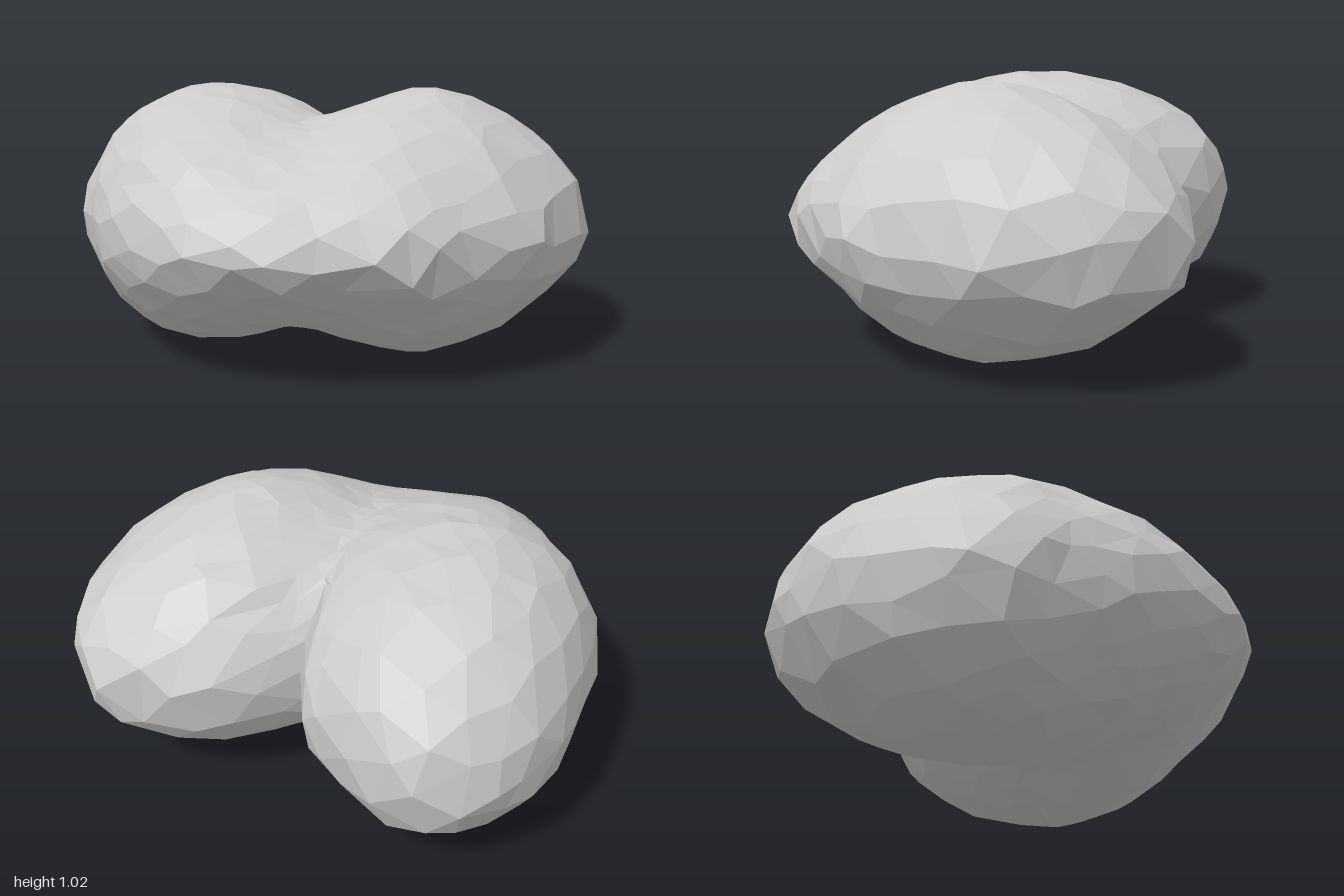
import * as THREE from 'three';
import { mergeVertices } from 'three/addons/utils/BufferGeometryUtils.js';

// Plan outline of the heart as [x, z], going round from the rear notch
const OUTLINE = [
  [-0.05, -0.5], [0.02, -0.59], [0.08, -0.64], [0.23, -0.78], [0.54, -0.85], [0.76, -0.77],
  [0.86, -0.64], [0.92, -0.5], [1.01, -0.18], [0.93, 0.05], [0.88, 0.26], [0.73, 0.43],
  [0.55, 0.63], [0.3, 0.74], [0.1, 0.83], [0, 0.81], [-0.12, 0.84], [-0.35, 0.79],
  [-0.55, 0.68], [-0.69, 0.56], [-0.84, 0.36], [-0.94, 0.26], [-0.98, 0.1], [-1.01, -0.18],
  [-0.99, -0.45], [-0.91, -0.62], [-0.84, -0.71], [-0.69, -0.83], [-0.57, -0.84],
  [-0.4, -0.8], [-0.1, -0.63],
];
const CENTRE = new THREE.Vector3(-0.05, 0.5, 0.1);

// The left lobe is wider and more pointed at its side than the right one
const LOBES = [
  { side: 1, x: 0.38, outer: 0.583, power: 1.62 },
  { side: -1, x: 0.48, outer: 0.46, power: 1.92 },
];

function seeded(seed) {
  return () => {
    seed = (seed * 16807) % 2147483647;
    return seed / 2147483647 - 0.5;
  };
}

// Below 1 inside a slanted lobe, blunt at the rear and wedge-like at the front
function lobe(p, { side, x, outer, power }) {
  const dx = p.x * side - x, dz = p.z + 0.06;
  const along = (-0.342 * dx + 0.94 * dz) / 0.85;
  const sideways = 0.94 * dx + 0.342 * dz;
  const across = sideways / (sideways > 0 ? outer : 0.66);
  const e = power - 0.22 * THREE.MathUtils.clamp(along, -1, 1);
  return Math.hypot(along, across) ** e + Math.abs((p.y - 0.5) / 0.508) ** e;
}

// The two lobes blended, with a crease that fades towards the front
function body(p) {
  const n = Math.max(4, 7 - 6 * p.z);
  return LOBES.reduce((sum, l) => sum + lobe(p, l) ** -n, 0) ** (-1 / n);
}

// Distance from the centre to the skin of the body
function reach(dir) {
  let near = 0, far = 2;
  const p = new THREE.Vector3();
  for (let i = 0; i < 24; i++) {
    const mid = (near + far) / 2;
    p.copy(CENTRE).addScaledVector(dir, mid);
    if (body(p) < 1) near = mid;
    else far = mid;
  }
  return near;
}

// Distance from the centre to the plan outline in a horizontal direction
function outlineReach(dx, dz) {
  let best = 0;
  OUTLINE.forEach(([ax, az], i) => {
    const [bx, bz] = OUTLINE[(i + 1) % OUTLINE.length];
    const ex = bx - ax, ez = bz - az, qx = ax - CENTRE.x, qz = az - CENTRE.z;
    const det = dx * ez - dz * ex;
    if (Math.abs(det) < 1e-9) return;
    const t = (qx * ez - qz * ex) / det;
    const u = (qx * dz - qz * dx) / det;
    if (t > 0 && u >= -1e-6 && u <= 1 + 1e-6) best = Math.max(best, t);
  });
  return best;
}

function heartStoneGeometry() {
  let geo = new THREE.IcosahedronGeometry(1, 6);
  geo.deleteAttribute('normal');
  geo.deleteAttribute('uv');
  geo = mergeVertices(geo, 1e-4);
  const pos = geo.attributes.position;
  const rand = seeded(4711);
  const dir = new THREE.Vector3(), flat = new THREE.Vector3();

  for (let i = 0; i < pos.count; i++) {
    dir.fromBufferAttribute(pos, i).normalize();
    // Uneven facets, with a row of vertices kept on the middle crease
    const onCrease = Math.abs(dir.x) < 0.07;
    dir.x = onCrease ? 0 : dir.x + rand() * 0.09;
    dir.y += rand() * 0.08;
    dir.z += rand() * 0.09;
    dir.normalize();

    // Crowd the vertices towards the rear notch
    const level = Math.hypot(dir.x, dir.z);
    let angle = Math.atan2(dir.x, dir.z);
    angle += 0.25 * Math.sin(angle);
    flat.set(Math.sin(angle), 0, Math.cos(angle));
    dir.set(flat.x * level, dir.y, flat.z * level);

    // Skin of the lobes, fitted to the outline, with chipped bumps
    const fit = outlineReach(flat.x, flat.z) / reach(flat);
    const mix = 1 + (fit - 1) * Math.min(1, level * 1.5);
    const r = reach(dir) * (1 + rand() * 0.022);
    pos.setXYZ(i, CENTRE.x + dir.x * r * mix, CENTRE.y + dir.y * r, CENTRE.z + dir.z * r * mix);
  }

  // Stand it on the ground
  geo.computeBoundingBox();
  geo.translate(0, -geo.boundingBox.min.y, 0);
  geo = geo.toNonIndexed();
  geo.computeVertexNormals();
  return geo;
}

export function createModel() {
  const group = new THREE.Group();
  const material = new THREE.MeshStandardMaterial({ color: 0xcccccc, flatShading: true });
  const stone = new THREE.Mesh(heartStoneGeometry(), material);
  stone.name = 'heartStone';
  group.add(stone);
  return group;
}
